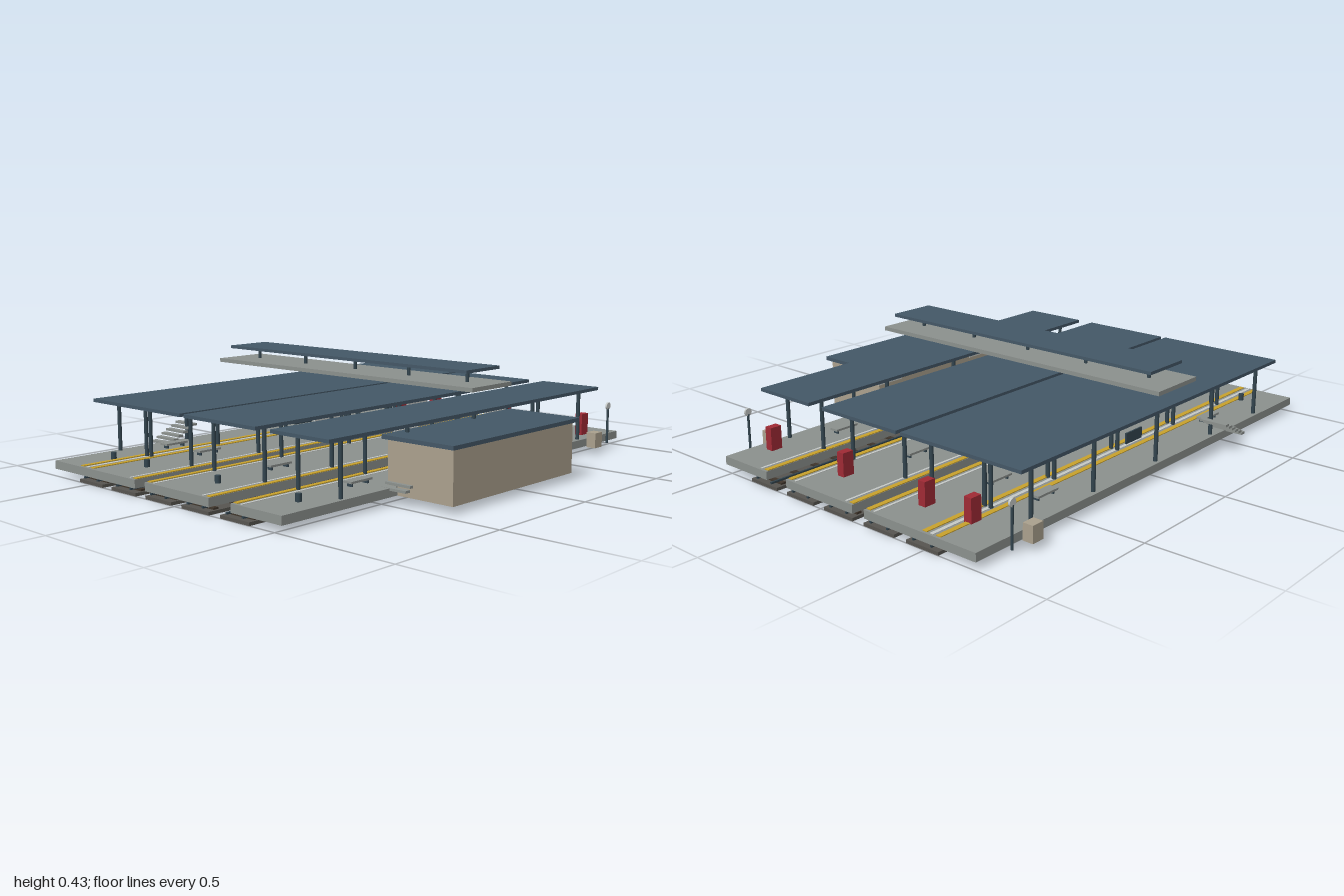
import * as THREE from 'three';

const mat = (name, color) => {
  const m = new THREE.MeshStandardMaterial({ color });
  m.name = name;
  return m;
};

export function createModel() {
  const concrete = mat('concrete', 0x8c918e);
  const roofBlue = mat('roof blue', 0x445867);
  const steel = mat('dark steel', 0x33454f);
  const tan = mat('tan wall', 0xaba18e);
  const red = mat('machine red', 0xa02a35);
  const yellow = mat('safety yellow', 0xc9a22c);
  const white = mat('pale grey', 0xc6cac8);
  const gravel = mat('ballast', 0x575550);
  const wood = mat('sleeper brown', 0x40362c);

  const root = new THREE.Group();
  root.name = 'trainStation';

  // Box given by its extents on each axis
  const box = (name, m, x0, x1, y0, y1, z0, z1, parent = root) => {
    const mesh = new THREE.Mesh(new THREE.BoxGeometry(x1 - x0, y1 - y0, z1 - z0), m);
    mesh.position.set((x0 + x1) / 2, (y0 + y1) / 2, (z0 + z1) / 2);
    mesh.name = name;
    parent.add(mesh);
    return mesh;
  };
  const post = (name, m, x, y0, y1, z, r, parent = root) => {
    const mesh = new THREE.Mesh(new THREE.CylinderGeometry(r, r, y1 - y0, 10), m);
    mesh.position.set(x, (y0 + y1) / 2, z);
    mesh.name = name;
    parent.add(mesh);
    return mesh;
  };

  // Tracks: ballast bed, sleepers and a pair of rails
  for (const z of [0.31, 0.11, -0.09, -0.29, -0.49]) {
    const track = new THREE.Group();
    track.name = 'track';
    root.add(track);
    box('ballast', gravel, -1, 1, 0, 0.012, z - 0.072, z + 0.072, track);
    for (let i = 0; i < 21; i++) {
      const x = -0.96 + i * 0.096;
      box('sleeper', wood, x - 0.01, x + 0.01, 0.012, 0.019, z - 0.062, z + 0.062, track);
    }
    for (const s of [-1, 1]) {
      box('rail', steel, -1, 1, 0.019, 0.026, z + s * 0.04 - 0.004, z + s * 0.04 + 0.004, track);
    }
  }

  // Platforms: centre z, half width, post offset, sides that face a track
  const platforms = [
    { z: 0.413, half: 0.12, off: 0.1, edges: [-1] },
    { z: 0.01, half: 0.173, off: 0.136, edges: [-1, 1] },
    { z: -0.394, half: 0.173, off: 0.136, edges: [-1, 1] },
    { z: -0.602, half: 0.12, off: 0.1, edges: [1] },
  ];
  for (const { z, half, off, edges } of platforms) {
    const g = new THREE.Group();
    g.name = 'platform';
    root.add(g);
    box('platformSlab', concrete, -1, 1, 0.028, 0.06, z - half, z + half, g);
    // Painted edge lines
    for (const s of edges) {
      const a = z + s * (half - 0.012), b = z + s * (half - 0.04);
      box('safetyLine', yellow, -0.99, 0.99, 0.06, 0.063, a - 0.01, a + 0.01, g);
      box('guideLine', white, -0.99, 0.99, 0.06, 0.062, b - 0.005, b + 0.005, g);
    }
    // Canopy
    box('canopyRoof', roofBlue, -0.807, 0.807, 0.262, 0.275, z - half - 0.018, z + half + 0.018, g);
    for (const x of [-0.715, -0.38, 0, 0.38, 0.715]) {
      for (const s of [-1, 1]) post('canopyPost', steel, x, 0.06, 0.263, z + s * off, 0.008, g);
    }
    for (const x of [-0.48, -0.24, 0.24, 0.48]) {
      box('ceilingLight', white, x - 0.036, x + 0.036, 0.254, 0.262, z - 0.007, z + 0.007, g);
    }
    // Hanging signs and information board
    for (const x of [-0.27, 0.27]) {
      box('hangingSign', white, x - 0.065, x + 0.065, 0.2, 0.224, z - 0.003, z + 0.003, g);
    }
    box('informationBoard', steel, -0.05, 0.05, 0.115, 0.157, z - 0.003, z + 0.003, g);
    // Benches
    for (const x of [-0.525, 0.525]) {
      box('benchSeat', concrete, x - 0.053, x + 0.053, 0.073, 0.081, z - 0.02, z + 0.02, g);
      for (const s of [-1, 1]) {
        box('benchLeg', steel, x + s * 0.04 - 0.003, x + s * 0.04 + 0.003, 0.06, 0.073, z - 0.012, z + 0.012, g);
      }
    }
    // Ticket machine and litter bin
    box('ticketMachine', red, 0.807, 0.855, 0.06, 0.15, z + 0.031, z + 0.063, g);
    post('litterBin', steel, -0.835, 0.06, 0.088, z + 0.025, 0.011, g);
  }

  // Station building
  box('buildingWalls', tan, -0.455, 0.26, 0.028, 0.225, 0.49, 0.777);
  box('buildingRoof', roofBlue, -0.475, 0.28, 0.223, 0.238, 0.477, 0.793);

  // Footbridge with covered walkway
  const bridge = new THREE.Group();
  bridge.name = 'footbridge';
  root.add(bridge);
  box('bridgeDeck', concrete, -0.12, 0.12, 0.356, 0.372, -0.785, 0.595, bridge);
  box('bridgeRoof', roofBlue, -0.1, 0.1, 0.418, 0.43, -0.735, 0.553, bridge);
  for (let i = 0; i < 5; i++) {
    post('bridgePost', steel, 0, 0.372, 0.418, 0.48 - i * 0.285, 0.007, bridge);
  }

  // Open stairs, kiosks and clock posts at the front and back
  for (const [stairZ, sideZ] of [[0.547, 0.567], [-0.733, -0.75]]) {
    const stairs = new THREE.Group();
    stairs.name = 'stairs';
    root.add(stairs);
    for (let i = 0; i < 6; i++) {
      const x = -0.495 + i * 0.025, y = 0.052 + i * 0.013;
      box('stairTread', concrete, x, x + 0.025, y, y + 0.009, stairZ - 0.057, stairZ + 0.057, stairs);
    }
    box('utilityBox', tan, 0.735, 0.787, 0.028, 0.091, sideZ - 0.021, sideZ + 0.021);
    post('clockPost', steel, 0.863, 0.03, 0.182, sideZ, 0.005);
    const clock = post('clockFace', white, 0.863, 0.186, 0.194, sideZ, 0.015);
    clock.geometry = new THREE.CylinderGeometry(0.015, 0.015, 0.008, 20);
    clock.rotation.x = Math.PI / 2;
  }

  return root;
}
